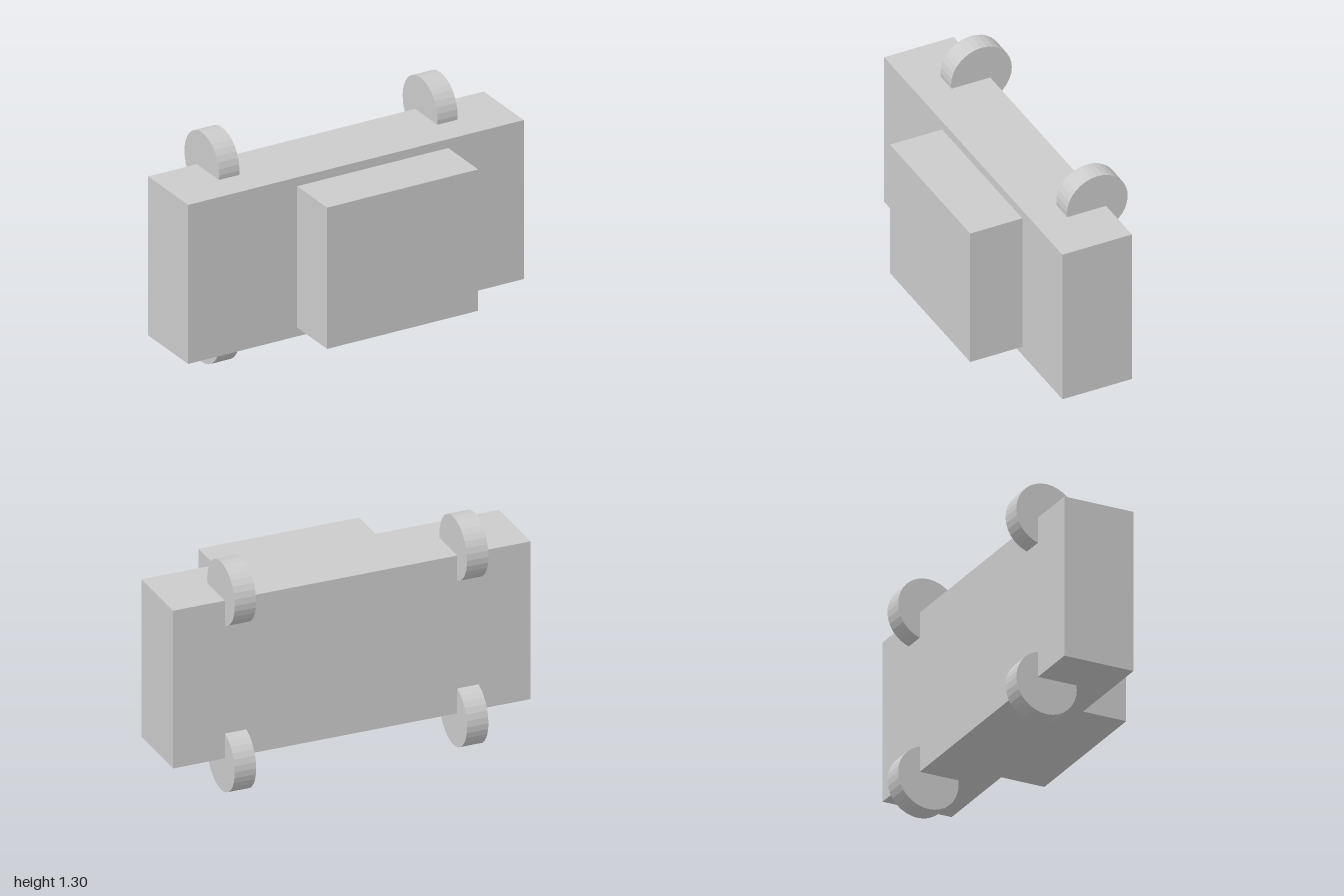
import * as THREE from 'three';

export function createModel() {
  const model = new THREE.Group();
  model.name = 'blockCar';
  const grey = new THREE.MeshStandardMaterial({ color: 0xcccccc, flatShading: true });

  const add = (name, geometry, x, y, z) => {
    const mesh = new THREE.Mesh(geometry, grey);
    mesh.name = name;
    mesh.position.set(x, y, z);
    model.add(mesh);
  };

  // Main slab, with the cabin block set off-centre on its front face
  add('body', new THREE.BoxGeometry(2, 0.9, 0.4), 0, 0.65, -0.0875);
  add('cabin', new THREE.BoxGeometry(0.9, 0.8, 0.3), 0.1, 0.65, 0.2625);

  // Four wheels on x-axis axles, partly sunk into the back edges of the body
  const wheel = new THREE.CylinderGeometry(0.175, 0.175, 0.12, 32).rotateZ(Math.PI / 2);
  for (const [side, x] of [['left', 0.65], ['right', -0.65]]) {
    for (const [level, y] of [['Lower', 0.175], ['Upper', 1.125]]) {
      add(`${side}${level}Wheel`, wheel, x, y, -0.2375);
    }
  }
  return model;
}
